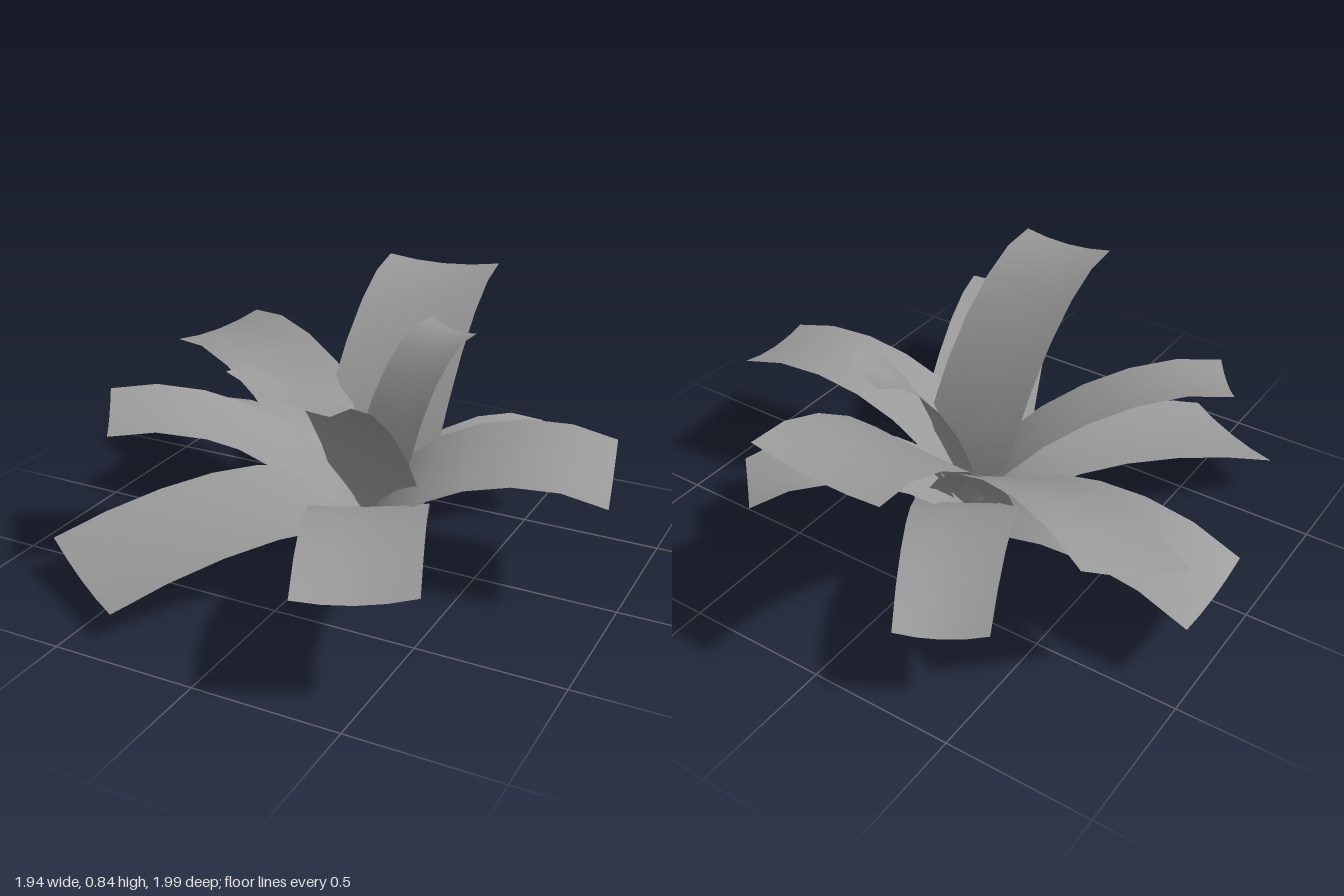
import * as THREE from 'three';

const material = new THREE.MeshStandardMaterial({ color: 0x9a9a9a, side: THREE.DoubleSide });

// Bend a flat strip from a root to a tip.
// rootX, rootZ, width: where the leaf starts and how wide it is there;
// tip: centre of the end edge; side: vector across the end edge;
// rise, crest: heights that pull the arch up near the root and past the middle.
function makeLeaf(name, rootX, rootZ, width, tip, side, rise, crest) {
  const root = new THREE.Vector3(rootX, 0.036, rootZ);
  const end = new THREE.Vector3(...tip);
  const tipSide = new THREE.Vector3(...side);
  const rootSide = tipSide.clone().setLength(width);
  const path = new THREE.CubicBezierCurve3(
    root,
    root.clone().lerp(end, 0.05).setY(rise),
    root.clone().lerp(end, 0.6).setY(crest),
    end);

  const geometry = new THREE.PlaneGeometry(1, 1, 4, 7);
  const position = geometry.attributes.position;
  for (let i = 0; i < position.count; i++) {
    const u = position.getX(i), v = position.getY(i) + 0.5;
    const narrowing = 1 - 0.15 * (1 - v) ** 6; // pinch just above the root
    const point = path.getPoint(v);
    point.addScaledVector(rootSide.clone().lerp(tipSide, v), u * narrowing);
    point.y -= 0.02 * (1 - 4 * u * u) * v; // shallow trough
    position.setXYZ(i, point.x, point.y, point.z);
  }
  geometry.computeVertexNormals();
  const mesh = new THREE.Mesh(geometry, material);
  mesh.name = name;
  return mesh;
}

export function createModel() {
  const plant = new THREE.Group();
  plant.name = 'leafyPlant';
  plant.add(
    // Tall leaves
    makeLeaf('backLeaf', 0.03, -0.1, 0.48, [-0.065, 0.81, -0.995], [0.47, 0.02, 0.01], 0.33, 0.82),
    makeLeaf('frontLeaf', 0.1, -0.1, 0.43, [0.085, 0.815, 0.605], [-0.39, 0.05, -0.07], 0.37, 0.84),
    makeLeaf('uprightLeaf', 0.065, -0.09, 0.31, [0.22, 0.745, -0.425], [0.22, 0, 0.11], 0.43, 0.75),
    // Middle leaves
    makeLeaf('leftBackLeaf', 0.06, -0.09, 0.36, [-0.865, 0.54, -0.57], [0.21, 0.08, -0.26], 0.31, 0.66),
    makeLeaf('frontLeftHighLeaf', 0.06, -0.07, 0.34, [-0.655, 0.565, 0.45], [-0.17, 0.05, -0.26], 0.31, 0.63),
    makeLeaf('rightLeaf', 0.08, 0.02, 0.43, [0.925, 0.445, -0.095], [0.09, -0.07, 0.39], 0.36, 0.57),
    // Low, spreading leaves
    makeLeaf('backLeftLeaf', 0.03, -0.1, 0.42, [-0.42, 0.32, -0.905], [0.26, -0.02, -0.13], 0.22, 0.45),
    makeLeaf('leftLeaf', 0.02, -0.16, 0.4, [-0.965, 0.24, -0.215], [-0.01, 0, -0.39], 0.22, 0.44),
    makeLeaf('frontLeftLowLeaf', 0.06, -0.08, 0.48, [-0.57, 0.125, 0.77], [-0.42, 0.05, -0.26], 0.34, 0.28),
    makeLeaf('frontRightLeaf', 0.07, -0.09, 0.43, [0.495, 0.385, 0.91], [-0.33, -0.01, 0.16], 0.25, 0.5),
    makeLeaf('rightBackLeaf', 0.07, -0.09, 0.37, [0.555, 0.305, -0.665], [0.19, 0.01, 0.19], 0.22, 0.475));
  return plant;
}
